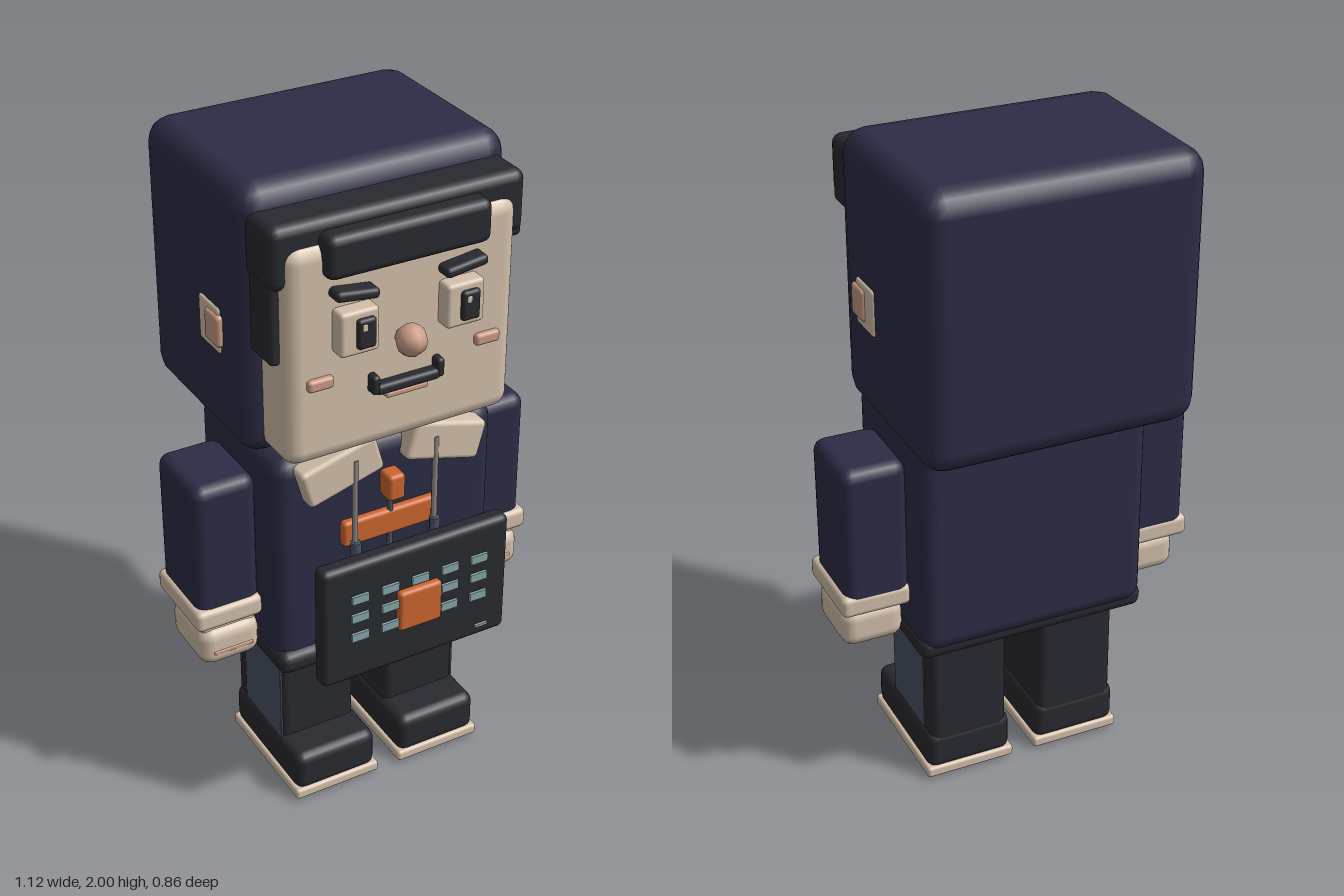
import * as THREE from 'three';
import { RoundedBoxGeometry } from 'three/addons/geometries/RoundedBoxGeometry.js';

const mat = (name, color) => {
  const m = new THREE.MeshStandardMaterial({ color });
  m.name = name;
  return m;
};

export function createModel() {
  const model = new THREE.Group();
  model.name = 'blockFigure';
  const navy = mat('navy cloth', 0x2c2c46);
  const black = mat('charcoal', 0x292a30);
  const skin = mat('pale skin', 0xd3bfab);
  const pink = mat('blush', 0xc99a84);
  const orange = mat('orange', 0xcc652e);
  const slate = mat('slate', 0x465463);
  const teal = mat('pale teal', 0x86a5a8);
  const strap = mat('strap grey', 0x8d8784);

  const add = (name, geometry, material, x = 0, y = 0, z = 0) => {
    const mesh = new THREE.Mesh(geometry, material);
    mesh.name = name;
    mesh.position.set(x, y, z);
    model.add(mesh);
    return mesh;
  };
  // Soft-edged block given by its extents on each axis
  const block = (name, material, [x0, x1], [y0, y1], [z0, z1], r = 0.01) => {
    const w = x1 - x0, h = y1 - y0, d = z1 - z0;
    const radius = Math.min(r, w * 0.45, h * 0.45, d * 0.45);
    return add(name, new RoundedBoxGeometry(w, h, d, 2, radius), material,
      (x0 + x1) / 2, (y0 + y1) / 2, (z0 + z1) / 2);
  };
  // Same block on the side s (+1 left, -1 right)
  const sided = (s, name, material, [x0, x1], y, z, r) =>
    block((s > 0 ? 'left' : 'right') + name, material, s > 0 ? [x0, x1] : [-x1, -x0], y, z, r);
  const rod = (name, material, r, x, y0, y1, z) =>
    add(name, new THREE.CylinderGeometry(r, r, y1 - y0, 8), material, x, (y0 + y1) / 2, z);

  // Head
  block('hood', navy, [-0.41, 0.41], [1.2, 2], [-0.427, 0.175], 0.07);
  block('face', skin, [-0.355, 0.355], [1.225, 1.88], [0.05, 0.31], 0.05);
  block('hairBand', black, [-0.385, 0.385], [1.755, 1.937], [0.1, 0.29], 0.03);
  block('fringe', black, [-0.247, 0.247], [1.78, 1.905], [0.25, 0.347], 0.025);
  block('rightSideburn', black, [-0.38, -0.342], [1.535, 1.8], [0.12, 0.27], 0.015);
  block('leftSideburn', black, [0.342, 0.383], [1.74, 1.8], [0.12, 0.28], 0.015);
  add('nose', new THREE.SphereGeometry(0.046, 8, 6), pink, 0, 1.555, 0.345);

  // Mouth: bar with upturned ends and a lower lip
  block('mouth', black, [-0.1, 0.1], [1.405, 1.437], [0.3, 0.342], 0.012);
  block('lowerLip', pink, [-0.065, 0.065], [1.386, 1.404], [0.3, 0.333], 0.006);

  for (const s of [1, -1]) {
    // Face details
    const brow = sided(s, 'Eyebrow', black, [0.1, 0.23], [1.717, 1.747], [0.3, 0.358], 0.012);
    brow.rotation.z = s * 0.13;
    sided(s, 'EyeFrame', skin, [0.103, 0.22], [1.56, 1.69], [0.3, 0.358], 0.012);
    const px = s > 0 ? 0.171 : -0.147;
    block('pupil', black, [px - 0.028, px + 0.028], [1.58, 1.668], [0.33, 0.372], 0.01);
    block('eyeGlint', skin, [px - 0.016, px - 0.002], [1.635, 1.655], [0.366, 0.375], 0.003);
    sided(s, 'Cheek', pink, [0.22, 0.297], [1.462, 1.497], [0.295, 0.327], 0.01);
    sided(s, 'MouthCorner', black, [0.088, 0.112], [1.41, 1.467], [0.3, 0.342], 0.01);

    // Ears
    sided(s, 'Ear', skin, [0.39, 0.418], [1.475, 1.612], [-0.08, 0.042], 0.01);
    sided(s, 'EarInner', pink, [0.395, 0.428], [1.5, 1.595], [-0.028, 0.053], 0.012);

    // Collar flap
    const flap = sided(s, 'Collar', skin, [0.045, 0.29], [1.092, 1.213], [0.185, 0.28], 0.015);
    flap.rotation.z = -s * 0.27;

    // Arm, cuff and hand
    sided(s, 'Sleeve', navy, [0.35, 0.546], [0.66, 1.11], [-0.14, 0.115], 0.035);
    sided(s, 'Cuff', skin, [0.35, 0.56], [0.64, 0.707], [-0.143, 0.13], 0.018);
    sided(s, 'Wrist', skin, [0.365, 0.535], [0.57, 0.66], [-0.08, 0.105], 0.02);
    sided(s, 'Hand', skin, [0.355, 0.545], [0.502, 0.63], [-0.1, 0.125], 0.04);
    sided(s, 'FingerCrease', pink, [0.385, 0.51], [0.545, 0.558], [0.115, 0.128], 0.004);

    // Leg with outer panel, shoe and sole
    sided(s, 'Leg', black, [0.055, 0.301], [0.1, 0.54], [-0.16, 0.14], 0.025);
    sided(s, 'LegPanel', slate, [0.297, 0.304], [0.14, 0.495], [-0.1, 0.132], 0.002);
    sided(s, 'Shoe', black, [0.043, 0.313], [0.03, 0.162], [-0.162, 0.256], 0.03);
    sided(s, 'Sole', skin, [0.036, 0.32], [0.008, 0.043], [-0.167, 0.262], 0.01);
    sided(s, 'SoleTread', black, [0.056, 0.3], [0, 0.012], [-0.147, 0.242], 0.002);

    // Hanging cord with its clip
    rod('cord', strap, 0.009, s * 0.13, 0.86, 1.18, 0.275);
    rod('cordClip', slate, 0.016, s * 0.13, 0.855, 0.91, 0.28);
    rod('cordEnd', strap, 0.008, s * 0.13, 0.81, 0.85, 0.29);
  }

  // Body
  block('neck', skin, [-0.17, 0.17], [1.15, 1.25], [-0.1, 0.16], 0.02);
  block('torso', navy, [-0.355, 0.355], [0.515, 1.2], [-0.248, 0.235], 0.05);
  block('hem', black, [-0.36, 0.36], [0.49, 0.562], [-0.235, 0.258], 0.03);

  // Jacket front: zip, pull and bar
  rod('zip', slate, 0.009, 0, 0.58, 1.06, 0.248);
  block('zipPull', orange, [-0.027, 0.027], [1.012, 1.095], [0.225, 0.29], 0.012);
  block('chestBar', orange, [-0.155, 0.155], [0.88, 0.963], [0.22, 0.258], 0.012);

  // Front console with keys
  block('console', black, [-0.305, 0.305], [0.532, 0.93], [0.345, 0.405], 0.02);
  block('consoleButton', orange, [-0.07, 0.07], [0.665, 0.798], [0.4, 0.43], 0.012);
  for (const y of [0.826, 0.763, 0.697]) {
    for (const x of [-0.195, -0.098, 0, 0.098, 0.195]) {
      if (x === 0 && y < 0.8) continue;
      add('key', new THREE.BoxGeometry(0.054, 0.026, 0.009), teal, x, y, 0.42);
    }
  }
  add('consoleMark', new THREE.BoxGeometry(0.04, 0.008, 0.009), teal, 0.21, 0.585, 0.42);

  return model;
}
